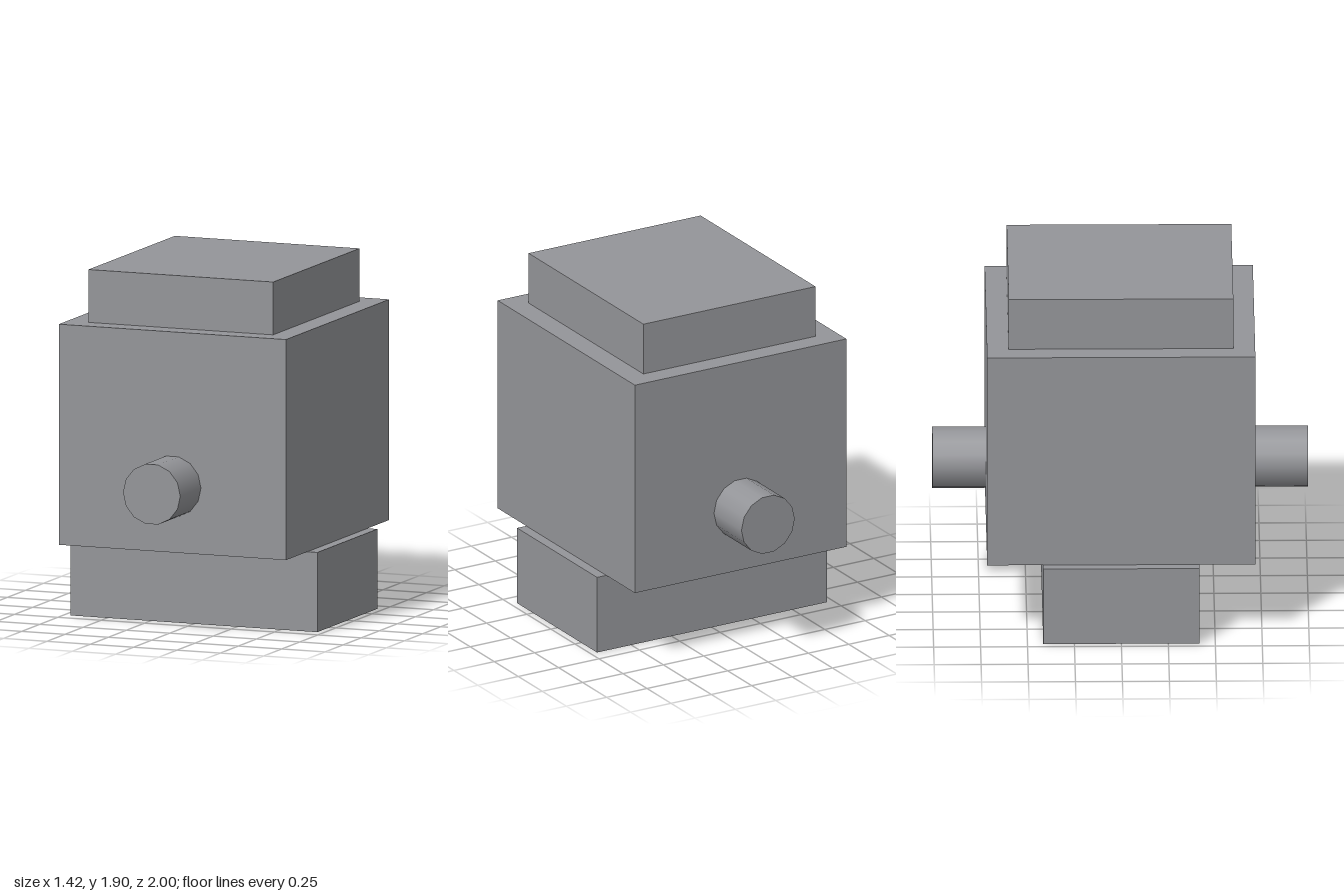
import * as THREE from 'three';

export function createModel() {
  const model = new THREE.Group();
  const grey = new THREE.MeshStandardMaterial({ color: 0x949599 });
  grey.name = 'grey';

  function add(name, geometry, x, y, z) {
    const mesh = new THREE.Mesh(geometry, grey);
    mesh.name = name;
    mesh.position.set(x, y, z);
    model.add(mesh);
  }

  // Box given by its width, depth and bottom and top heights
  function block(name, width, depth, bottom, top) {
    add(name, new THREE.BoxGeometry(width, top - bottom, depth), 0, (bottom + top) / 2, 0);
  }

  // Stacked blocks
  block('base', 1.424, 0.832, 0, 0.43);
  block('body', 1.31, 1.428, 0.43, 1.62);
  block('cap', 1.066, 1.196, 1.62, 1.905);

  // Matching round pegs on the front and back faces, flat side up
  for (const side of [1, -1]) {
    const peg = new THREE.CylinderGeometry(0.165, 0.165, 0.286, 14, 1, false, Math.PI / 2);
    peg.rotateX(Math.PI / 2);
    add(side > 0 ? 'frontPeg' : 'backPeg', peg, 0, 0.787, side * 0.857);
  }

  return model;
}
